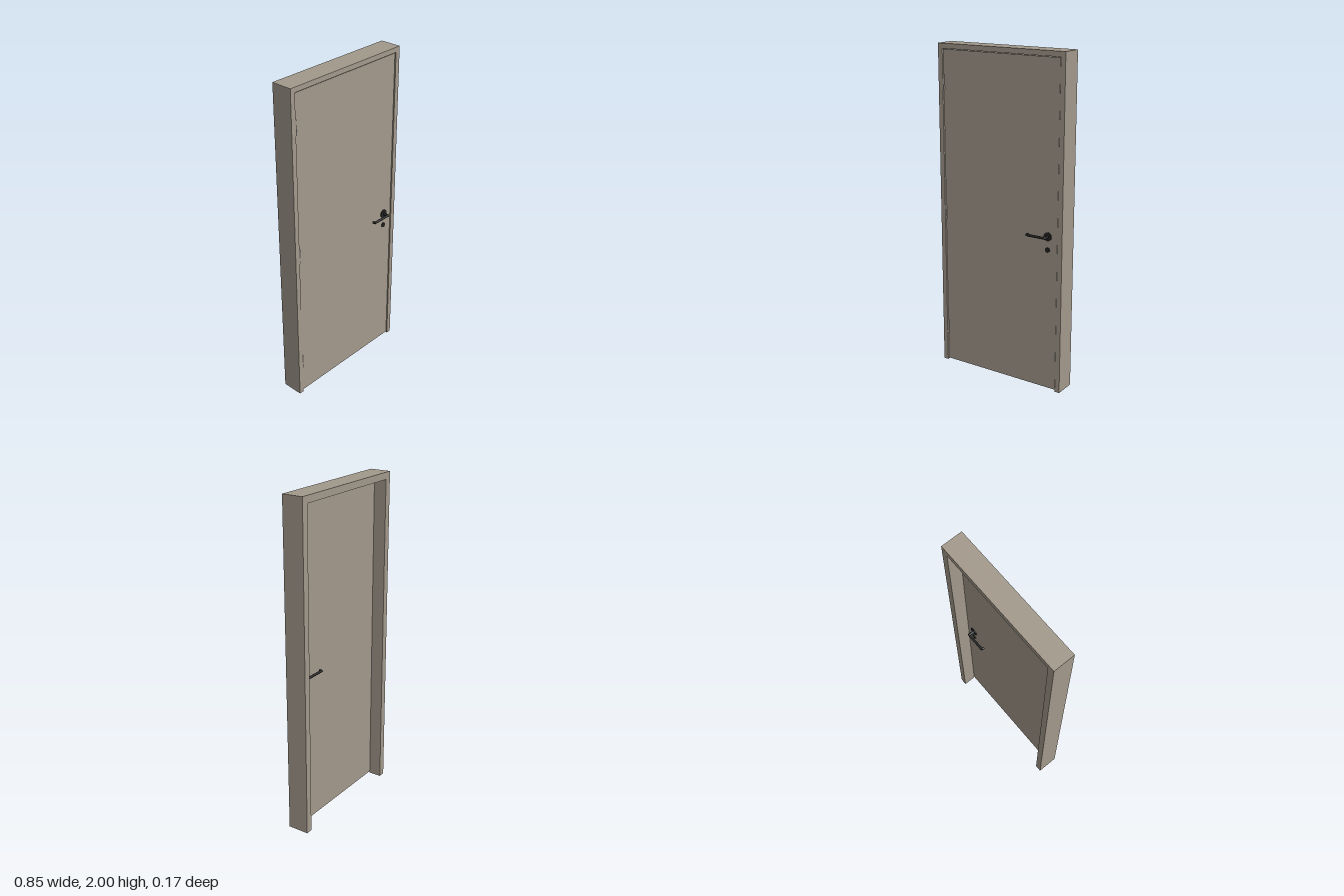
import * as THREE from 'three';

export function createModel() {
  const group = new THREE.Group();
  const paint = new THREE.MeshStandardMaterial({ color: 0xa3998c });
  paint.name = 'taupePaint';
  const black = new THREE.MeshStandardMaterial({ color: 0x222222 });
  black.name = 'blackMetal';
  const steel = new THREE.MeshStandardMaterial({ color: 0x9a968f });
  steel.name = 'hingeSteel';

  const add = (parent, name, geometry, material, x = 0, y = 0, z = 0) => {
    const mesh = new THREE.Mesh(geometry, material);
    mesh.name = name;
    mesh.position.set(x, y, z);
    parent.add(mesh);
    return mesh;
  };

  // Frame: upside-down U sections, wider behind to form the door stop
  const W = 0.427, H = 2;
  const frameSection = (t, z0, z1) => {
    const s = new THREE.Shape([
      [-W, 0], [-W + t, 0], [-W + t, H - t], [W - t, H - t],
      [W - t, 0], [W, 0], [W, H], [-W, H],
    ].map(([x, y]) => new THREE.Vector2(x, y)));
    const g = new THREE.ExtrudeGeometry(s, { depth: z1 - z0, bevelEnabled: false });
    return g.translate(0, 0, z0);
  };
  add(group, 'frameRebate', frameSection(0.03, -0.006, 0.045), paint);
  add(group, 'frameStop', frameSection(0.042, -0.085, -0.006), paint);

  // Door leaf
  const back = -0.005, front = 0.04, bottom = 0.01, top = 1.966;
  add(group, 'doorLeaf', new THREE.BoxGeometry(0.786, top - bottom, front - back), paint,
    0, (top + bottom) / 2, (front + back) / 2);

  // Hinges: knuckles with small end caps
  for (const y of [0.23, 0.985, 1.775]) {
    const hinge = new THREE.Group();
    hinge.name = 'hinge';
    hinge.position.set(-0.393, y, 0.039);
    add(hinge, 'hingeBarrel', new THREE.CylinderGeometry(0.006, 0.006, 0.086, 16), steel);
    for (const s of [-1, 1])
      add(hinge, 'hingeCap', new THREE.CylinderGeometry(0.0045, 0.0045, 0.005, 16), steel, 0, s * 0.045);
    group.add(hinge);
  }

  // Lever handle set, built outward along local +z from the door face
  const disc = (r, h) => new THREE.CylinderGeometry(r, r, h, 32).rotateX(Math.PI / 2);
  const rod = (r, len) => new THREE.CylinderGeometry(r, r, len, 20).rotateZ(Math.PI / 2);
  const handleSet = (name) => {
    const set = new THREE.Group();
    set.name = name;
    add(set, 'rosette', disc(0.026, 0.005), black, 0, 0, 0.0025);
    add(set, 'keyRosette', disc(0.015, 0.005), black, 0, -0.08, 0.0025);
    add(set, 'neck', disc(0.008, 0.034), black, 0, 0, 0.02);
    add(set, 'elbow', new THREE.SphereGeometry(0.008, 20, 12), black, 0, 0, 0.037);
    return set;
  };
  const addLever = (set) => {
    add(set, 'lever', rod(0.0075, 0.122), black, -0.061, 0, 0.0375);
    add(set, 'leverTip', disc(0.0075, 0.014), black, -0.12, 0, 0.03);
    return set;
  };
  const outer = addLever(handleSet('frontHandle'));
  outer.position.set(0.33, 0.955, front);
  const inner = handleSet('backHandle');
  inner.rotation.y = Math.PI;
  inner.position.set(0.33, 0.955, back);
  // The back lever points to the hinge side too
  const innerLever = addLever(new THREE.Group());
  innerLever.name = 'backLever';
  innerLever.rotation.z = Math.PI;
  inner.add(innerLever);
  group.add(outer, inner);

  return group;
}
